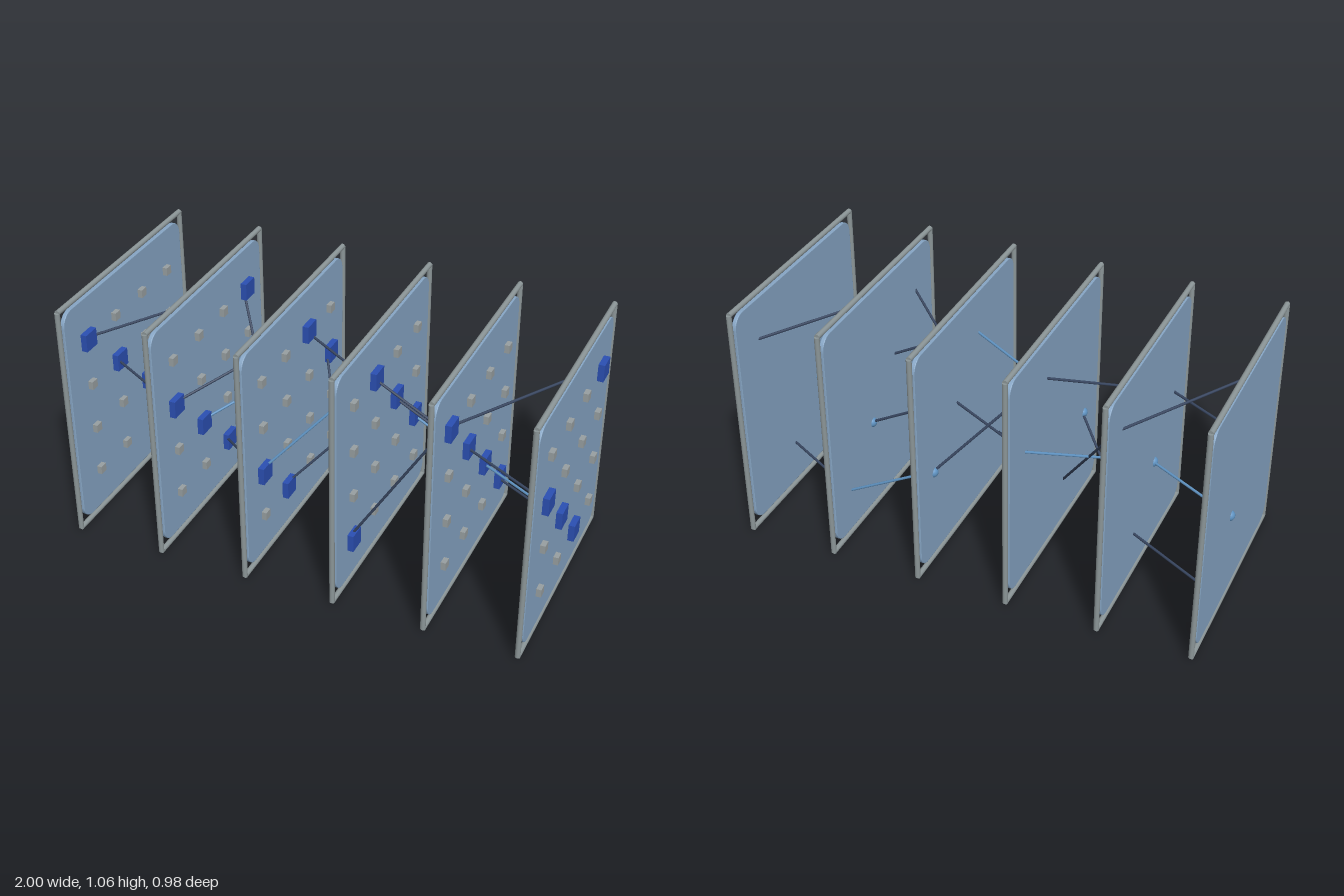
import * as THREE from 'three';

const paint = (name, color) => {
  const m = new THREE.MeshStandardMaterial({ color });
  m.name = name;
  return m;
};

export function createModel() {
  const glass = paint('pale blue panel', 0x86a5c4);
  const metal = paint('grey frame', 0x8b9597);
  const stone = paint('light grey cell', 0x989fa1);
  const blue = paint('active blue', 0x2b4fb2);
  const navy = paint('dark wire', 0x37455f);
  const sky = paint('signal blue', 0x5f93c2);

  const root = new THREE.Group();
  root.name = 'layeredPanels';

  const add = (parent, geo, mat, name, x = 0, y = 0, z = 0) => {
    const mesh = new THREE.Mesh(geo, mat);
    mesh.name = name;
    mesh.position.set(x, y, z);
    parent.add(mesh);
    return mesh;
  };

  // Round rod between two points
  const rod = (parent, a, b, radius, mat, name, sides = 16) => {
    const dir = b.clone().sub(a);
    const mesh = add(parent, new THREE.CylinderGeometry(radius, radius, dir.length(), sides), mat, name);
    mesh.position.copy(a).add(b).multiplyScalar(0.5);
    mesh.quaternion.setFromUnitVectors(new THREE.Vector3(0, 1, 0), dir.normalize());
  };

  // Rounded plate with a fine bevel, turned to face +x
  const w = 0.457, h = 0.495, r = 0.06, bevel = 0.003, depth = 0.012;
  const outline = new THREE.Shape();
  outline.moveTo(-w + r, -h);
  outline.lineTo(w - r, -h);
  outline.absarc(w - r, -h + r, r, -Math.PI / 2, 0);
  outline.absarc(w - r, h - r, r, 0, Math.PI / 2);
  outline.absarc(-w + r, h - r, r, Math.PI / 2, Math.PI);
  outline.absarc(-w + r, -h + r, r, Math.PI, Math.PI * 1.5);
  const plate = new THREE.ExtrudeGeometry(outline, {
    depth, bevelSize: bevel, bevelThickness: bevel, bevelSegments: 2, curveSegments: 8,
  });
  plate.translate(0, 0, -depth / 2).rotateY(Math.PI / 2);

  const cell = new THREE.BoxGeometry(0.022, 0.036, 0.036);
  const activeCell = new THREE.BoxGeometry(0.028, 0.075, 0.075);
  const bead = new THREE.SphereGeometry(0.023, 20, 14);

  const rowY = [0.852, 0.641, 0.429, 0.218];
  const colZ = [0.317, 0.106, -0.106, -0.317];
  const panelX = i => -0.977 + i * 0.388;

  // Column of the active cell in each row, per panel
  const active = [
    [0, 1, 2, 3], [3, 0, 1, 2], [2, 3, 0, 1],
    [1, 2, 3, 0], [0, 1, 2, 3], [3, 0, 1, 2],
  ];
  // Row reached on the next panel from each row
  const nextRow = [
    [0, 1, 2, 3], [3, 0, 1, 2], [2, 3, 0, 1], [1, 2, 3, 0], [0, 1, 2, 3],
  ];
  const signalRow = 2;

  active.forEach((columns, i) => {
    const panel = new THREE.Group();
    panel.name = 'panel' + (i + 1);
    panel.position.x = panelX(i);
    root.add(panel);
    add(panel, plate, glass, 'plate', 0, 0.533, 0);

    // Four-rod frame
    const v = (y, z) => new THREE.Vector3(0, y, z);
    const low = 0.011, high = 1.053, side = 0.481;
    for (const s of [-1, 1]) rod(panel, v(low, s * side), v(high, s * side), 0.011, metal, 'frameUpright');
    for (const y of [low, high]) rod(panel, v(y, -side), v(y, side), 0.011, metal, 'frameRail');

    // Grid of cells
    rowY.forEach((y, row) => colZ.forEach((z, col) => {
      if (columns[row] === col) add(panel, activeCell, blue, 'activeCell', 0.021, y, z);
      else add(panel, cell, stone, 'cell', 0.019, y, z);
    }));

    // Links to the next panel, with a bead where the signal leaves
    if (!nextRow[i]) return;
    const point = (p, row) => new THREE.Vector3(panelX(p), rowY[row], colZ[active[p][row]]);
    nextRow[i].forEach((to, row) => {
      const signal = row === signalRow;
      rod(root, point(i, row), point(i + 1, to), 0.0055, signal ? sky : navy, signal ? 'signalLink' : 'link', 10);
    });
    add(panel, bead, sky, 'signalBead', 0, rowY[signalRow], colZ[columns[signalRow]]);
  });

  return root;
}
